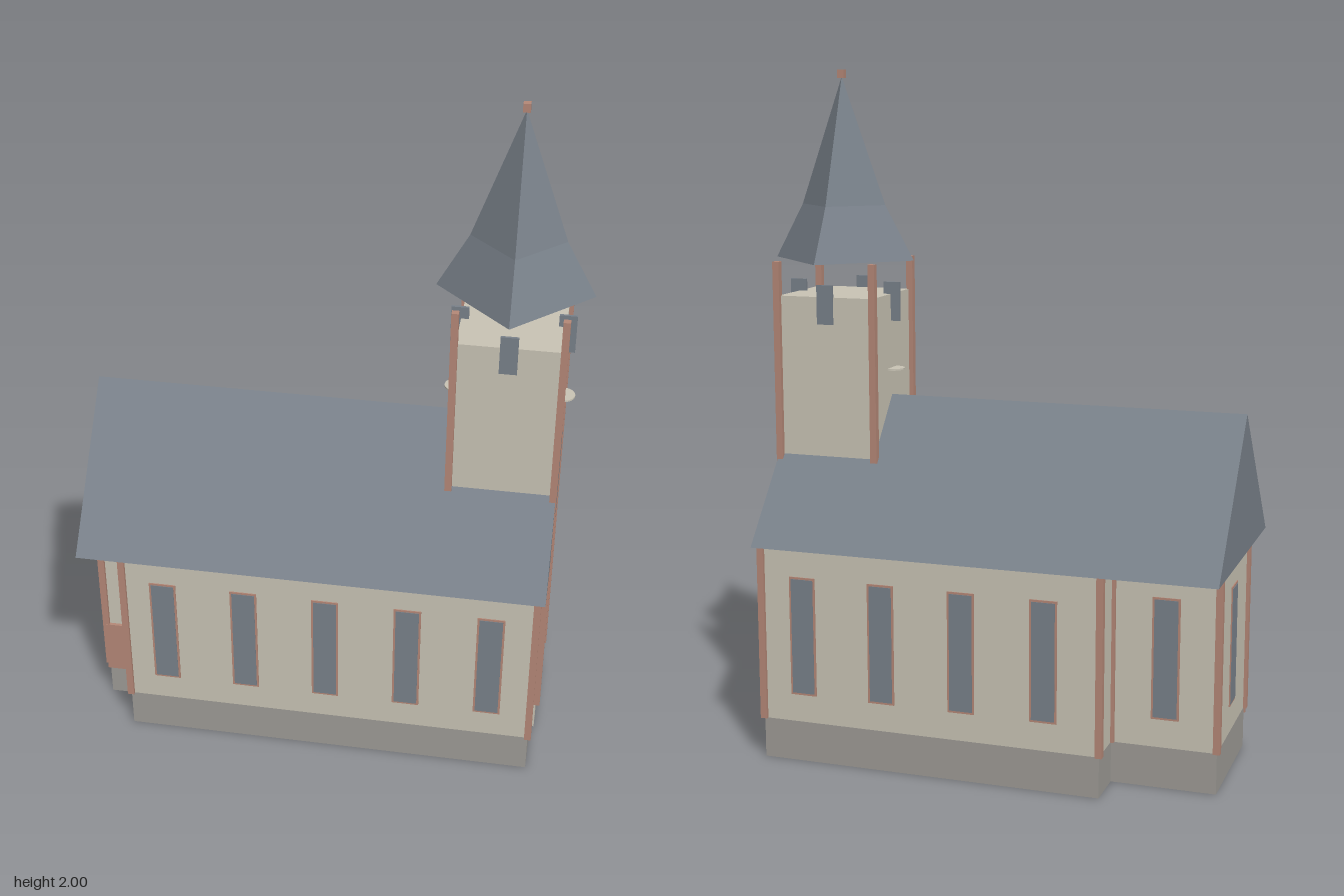
import * as THREE from 'three';

const paint = (name, color) => {
  const m = new THREE.MeshStandardMaterial({ color });
  m.name = name;
  return m;
};

export function createModel() {
  const wall = paint('plaster', 0xc9c4b5);
  const slate = paint('slate', 0x79818a);
  const stone = paint('stone', 0x9e9b96);
  const wood = paint('wood', 0xb58877);

  const church = new THREE.Group();
  church.name = 'church';

  const add = (name, geometry, material, x = 0, y = 0, z = 0) => {
    const mesh = new THREE.Mesh(geometry, material);
    mesh.name = name;
    mesh.position.set(x, y, z);
    church.add(mesh);
    return mesh;
  };
  const box = (name, material, w, h, d, x, y, z) =>
    add(name, new THREE.BoxGeometry(w, h, d), material, x, y, z);
  const post = (name, x, z, y0, y1) =>
    box(name, wood, 0.02, y1 - y0, 0.02, x, (y0 + y1) / 2, z);

  // Stepped floor plan shared by plinth and walls, as [x, z]
  const plan = [
    [0.63, 0.33], [0.63, -0.33], [-0.39, -0.33], [-0.39, -0.2],
    [-0.695, -0.2], [-0.695, 0.2], [-0.59, 0.2], [-0.59, 0.33],
  ];
  const storey = (name, material, y0, y1) => {
    const shape = new THREE.Shape(plan.map(([x, z]) => new THREE.Vector2(x, -z)));
    const g = new THREE.ExtrudeGeometry(shape, { depth: y1 - y0, bevelEnabled: false });
    g.rotateX(-Math.PI / 2);
    add(name, g, material, 0, y0, 0);
  };
  storey('plinth', stone, 0, 0.12);
  storey('walls', wall, 0.12, 0.645);

  // Corner posts of the walls
  for (const [x, z] of plan) post('cornerPost', x, z, 0.12, 0.64);

  // Solid gabled roof
  const gable = new THREE.Shape([
    new THREE.Vector2(-0.353, 0.64), new THREE.Vector2(0.353, 0.64), new THREE.Vector2(0, 1.05),
  ]);
  const roof = new THREE.ExtrudeGeometry(gable, { depth: 1.372, bevelEnabled: false });
  roof.rotateY(Math.PI / 2);
  add('roof', roof, slate, -0.72, 0, 0);

  // Framed windows, turned to face outwards
  const window = (x, z, angle) => {
    const g = new THREE.Group();
    g.name = 'window';
    const plates = [['windowFrame', wood, 0.08, 0.355, 0.006], ['windowPane', slate, 0.068, 0.343, 0.009]];
    for (const [name, material, w, h, d] of plates) {
      const m = new THREE.Mesh(new THREE.BoxGeometry(w, h, d), material);
      m.name = name;
      g.add(m);
    }
    g.position.set(x, 0.38, z);
    g.rotation.y = angle;
    church.add(g);
  };
  for (let i = 0; i < 5; i++) {
    const x = 0.502 - i * 0.243;
    window(x, 0.33, 0);
    if (i < 4) window(x, -0.33, Math.PI);
  }
  window(-0.545, -0.2, Math.PI);
  window(-0.695, 0, -Math.PI / 2);
  for (const s of [-1, 1]) window(0.63, s * 0.208, Math.PI / 2);

  // Side door by the stepped end
  box('door', wood, 0.105, 0.175, 0.01, -0.647, 0.19, 0.206);

  // Tower with tall corner posts
  const tx = 0.495;
  box('tower', wall, 0.294, 1.349, 0.294, tx, 0.6755, 0);
  for (const sz of [-1, 1]) {
    post('towerPost', tx - 0.15, sz * 0.15, 0.87, 1.45);
    post('towerPost', tx + 0.15, sz * 0.15, 0.1, 1.45);
  }

  // Belfry slats and flat discs; those on the sides stand out from the wall
  for (const s of [-1, 1]) {
    box('belfrySlat', slate, 0.05, 0.115, 0.008, tx, 1.328, s * 0.148);
    box('belfrySlat', slate, 0.05, 0.115, 0.008, tx + s * 0.15, 1.328, 0);
    add('disc', new THREE.CylinderGeometry(0.036, 0.036, 0.005, 24), wall, tx + s * 0.15, 1.128, 0);
  }

  // Flared four-sided spire, set cornerwise over the tower
  add('spireFlare', new THREE.CylinderGeometry(0.132, 0.22, 0.16, 4, 1).toNonIndexed(), slate, tx, 1.53, 0)
    .geometry.computeVertexNormals();
  add('spire', new THREE.ConeGeometry(0.132, 0.37, 4, 1).toNonIndexed(), slate, tx, 1.795, 0)
    .geometry.computeVertexNormals();
  box('finial', wood, 0.02, 0.024, 0.02, tx, 1.988, 0);

  return church;
}
